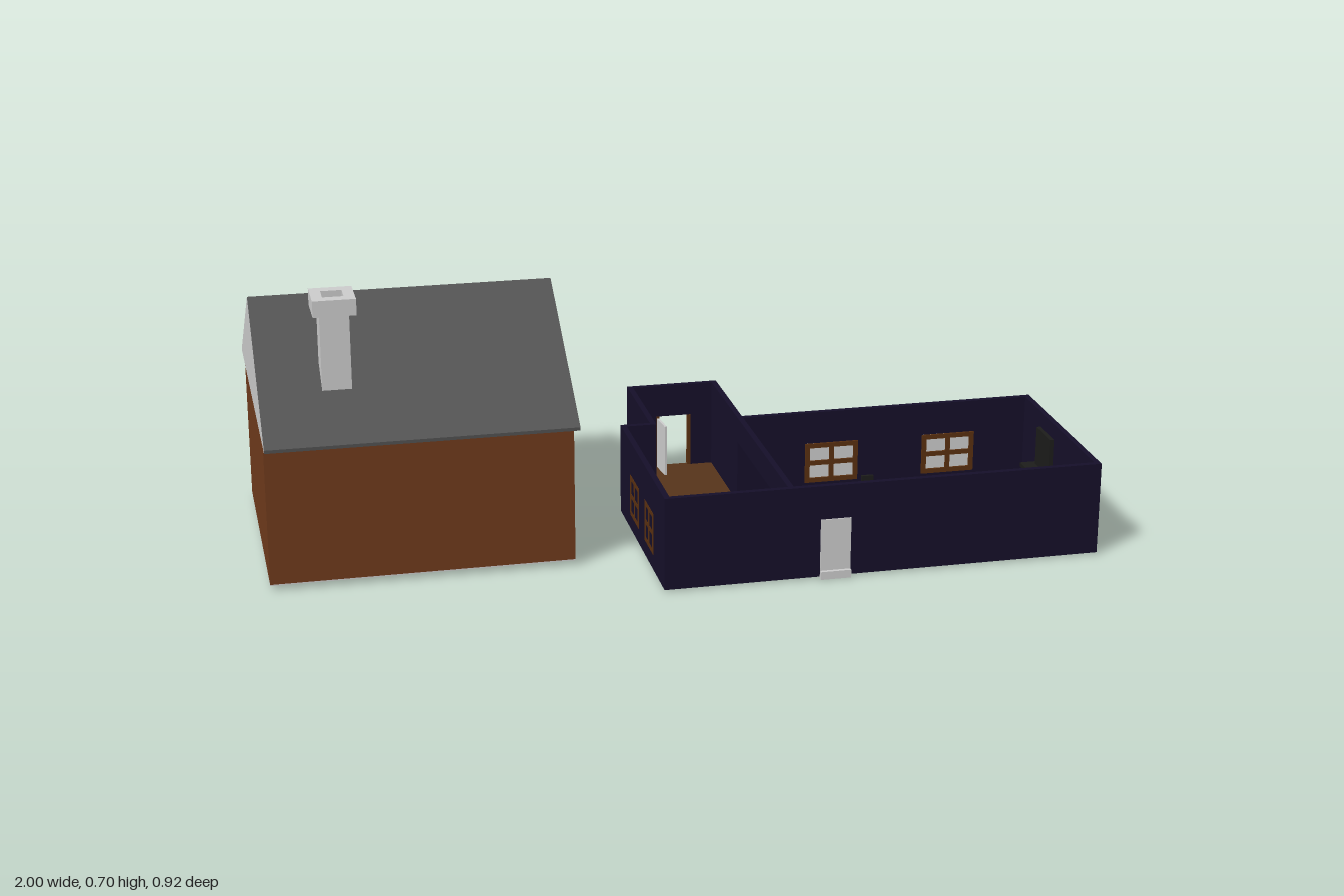
import * as THREE from 'three';

const mats = {};
const mat = (c = 0xcccccc) => (mats[c] ??= new THREE.MeshStandardMaterial({ color: c }));
const BRICK = 0x6e3a1c, ROOF = 0x505050, GLASS = 0x80cfc5, NAVY = 0x150f29,
  WOOD = 0x56341a, DARK = 0x1c1c1a, GREY = 0xcccccc, BROWN = 0x5a3010;

function add(parent, name, geometry, material) {
  const m = new THREE.Mesh(geometry, material);
  m.name = name;
  parent.add(m);
  return m;
}

// box given by its limits on each axis
function box(parent, name, x0, x1, y0, y1, z0, z1, color) {
  const m = add(parent, name, new THREE.BoxGeometry(x1 - x0, y1 - y0, z1 - z0), mat(color));
  m.position.set((x0 + x1) / 2, (y0 + y1) / 2, (z0 + z1) / 2);
  return m;
}

function group(parent, name, x = 0, y = 0, z = 0, ry = 0) {
  const g = new THREE.Group();
  g.name = name;
  g.position.set(x, y, z);
  g.rotation.y = ry;
  parent.add(g);
  return g;
}

// four-pane window facing +z, centred on its origin
function windowUnit(parent, name, x, y, z, ry, w, h, frame, pane, depth) {
  const g = group(parent, name, x, y, z, ry), t = 0.012;
  box(g, 'pane', -w / 2, w / 2, -h / 2, h / 2, -depth * 0.3, depth * 0.3, pane);
  for (const s of [-1, 0, 1]) {
    const cx = s * (w - t) / 2, cy = s * (h - t) / 2;
    box(g, 'upright', cx - t / 2, cx + t / 2, -h / 2, h / 2, -depth / 2, depth / 2, frame);
    box(g, 'rail', -w / 2, w / 2, cy - t / 2, cy + t / 2, -depth / 2, depth / 2, frame);
  }
}

// rectangular tube, open from top to bottom
function hollow(parent, name, w, d, hole, y0, y1, x, z) {
  const rect = (C, a, b) => new C([[-a, -b], [a, -b], [a, b], [-a, b]].map(p => new THREE.Vector2(...p)));
  const s = rect(THREE.Shape, w / 2, d / 2);
  s.holes.push(rect(THREE.Path, hole / 2, hole / 2));
  const geo = new THREE.ExtrudeGeometry(s, { depth: y1 - y0, bevelEnabled: false }).rotateX(-Math.PI / 2);
  add(parent, name, geo, mat()).position.set(x, y0, z);
}

function buildHouse(root) {
  const g = group(root, 'house');
  box(g, 'walls', -0.998, -0.262, 0.019, 0.38, -0.38, 0.24, BRICK);
  box(g, 'foundation', -0.998, -0.262, 0.016, 0.019, -0.38, 0.24);

  // gabled roof: light gable ends, dark slopes
  const s = new THREE.Shape([[-0.315, 0.378], [0.46, 0.378], [0.46, 0.386], [0.07, 0.64], [-0.315, 0.386]]
    .map(p => new THREE.Vector2(...p)));
  const geo = new THREE.ExtrudeGeometry(s, { depth: 0.74, bevelEnabled: false }).rotateY(Math.PI / 2);
  add(g, 'roof', geo, [mat(), mat(ROOF)]).position.x = -1;

  hollow(g, 'chimneyStack', 0.07, 0.073, 0.05, 0.475, 0.66, -0.815, 0.144);
  hollow(g, 'chimneyCap', 0.102, 0.106, 0.05, 0.66, 0.7, -0.815, 0.144);

  windowUnit(g, 'sideWindow', -0.262, 0.241, -0.068, Math.PI / 2, 0.175, 0.15, GREY, GLASS, 0.014);
  for (const x of [-0.84, -0.42])
    windowUnit(g, 'backWindow', x, 0.205, -0.381, Math.PI, 0.145, 0.18, GREY, GLASS, 0.014);

  // back entrance
  const d = group(g, 'backDoor');
  box(d, 'doorPanel', -0.673, -0.587, 0.02, 0.21, -0.388, -0.378);
  for (const x of [-0.685, -0.587]) box(d, 'doorJamb', x, x + 0.012, 0.02, 0.22, -0.394, -0.378);
  box(d, 'doorLintel', -0.685, -0.575, 0.208, 0.22, -0.394, -0.378);
  box(d, 'doorStep', -0.69, -0.57, 0.014, 0.021, -0.404, -0.378);
  const knob = add(d, 'doorKnob', new THREE.SphereGeometry(0.006, 12, 8), mat(DARK));
  knob.position.set(-0.66, 0.112, -0.396);
}

function buildPlan(root) {
  const g = group(root, 'openFloorPlan'), T = 0.014, Y0 = 0.008, Y1 = 0.24;
  const wall = (name, x0, x1, z0, z1, y0 = Y0, y1 = Y1) => box(g, name, x0, x1, y0, y1, z0, z1, NAVY);
  box(g, 'mainFloor', -0.084, 0.999, Y0, 0.014, -0.072, 0.444, WOOD);
  box(g, 'hallFloor', -0.009, 0.229, Y0, 0.014, -0.357, -0.072, WOOD);

  // outer walls
  wall('frontWall', -0.086, 1, 0.445 - T, 0.445);
  wall('rightWall', 1 - T, 1, -0.074, 0.445);
  wall('leftWall', -0.086, -0.086 + T, -0.074, 0.445);
  wall('backWallLiving', 0.23 - T, 1, -0.074, -0.074 + T);
  wall('backWallDining', -0.086, -0.01 + T, -0.074, -0.074 + T);
  wall('hallLeftWall', -0.01, -0.01 + T, -0.36, -0.06);
  wall('hallRightWall', 0.23 - T, 0.23, -0.36, -0.06);
  wall('hallBackWallLeft', -0.01, 0.07, -0.36, -0.36 + T);
  wall('hallBackWallRight', 0.155, 0.23, -0.36, -0.36 + T);
  wall('hallBackLintel', 0.07, 0.155, -0.36, -0.36 + T, 0.155);

  // inner wall with a wide opening
  wall('innerWallFront', 0.216, 0.23, 0.31, 0.44);
  wall('innerWallHeader', 0.216, 0.23, -0.06, 0.31, 0.175);

  // doors
  box(g, 'frontDoor', 0.295, 0.37, Y0, 0.155, 0.428, 0.448);
  box(g, 'frontStep', 0.295, 0.37, 0.004, 0.024, 0.436, 0.457);
  const door = group(g, 'openHallDoor', 0.07, 0, -0.348, 0.1);
  box(door, 'doorPanel', -0.003, 0.003, 0.014, 0.15, 0, 0.07);
  for (const x of [0.066, 0.151]) box(g, 'hallDoorJamb', x, x + 0.008, 0.014, 0.155, -0.361, -0.345, BROWN);

  // windows
  for (const x of [0.465, 0.778])
    windowUnit(g, 'livingWindow', x, 0.103, -0.067, Math.PI, 0.14, 0.106, BROWN, GREY, 0.024);
  for (const z of [0.1, 0.27])
    windowUnit(g, 'diningWindow', -0.078, 0.1, z, Math.PI / 2, 0.1, 0.106, BROWN, GREY, 0.018);
  box(g, 'hallMirror', 0.004, 0.008, 0.045, 0.125, -0.225, -0.175);

  // rugs
  box(g, 'livingRug', 0.405, 0.685, 0.014, 0.017, -0.055, 0.23, NAVY);
  const rug = box(g, 'diningRug', 0.005, 0.205, 0.014, 0.017, 0.06, 0.26, NAVY);
  rug.rotation.y = Math.PI / 4;
}

// table with a top and four legs
function table(parent, name, x0, x1, z0, z1, h, color) {
  const g = group(parent, name), t = 0.005;
  box(g, 'top', x0, x1, h - 0.006, h, z0, z1, color);
  for (const x of [x0, x1 - t]) for (const z of [z0, z1 - t])
    box(g, 'leg', x, x + t, 0.015, h - 0.006, z, z + t, color);
}

// padded seat facing +z with n cushions
function seat(parent, name, n, x, z, ry) {
  const g = group(parent, name, x, 0.017, z, ry), w = n * 0.031, a = w / 2;
  box(g, 'base', -a, a, 0, 0.02, -0.018, 0.018, DARK);
  box(g, 'backrest', -a, a, 0, 0.05, -0.026, -0.018, DARK);
  for (const s of [-1, 1]) box(g, 'arm', s * a - 0.003, s * a + 0.003, 0, 0.032, -0.026, 0.018, DARK);
  for (let i = 0; i < n; i++)
    box(g, 'cushion', -a + i * 0.031 + 0.002, -a + i * 0.031 + 0.029, 0.02, 0.028, -0.016, 0.016);
}

function buildFurniture(root) {
  const g = group(root, 'furniture');
  // dining room
  table(g, 'diningTable', 0.005, 0.15, 0.13, 0.192, 0.06, DARK);
  for (const x of [0.03, 0.078, 0.126]) {
    const plate = add(g, 'plate', new THREE.CylinderGeometry(0.008, 0.008, 0.003, 12), mat(0x8a8468));
    plate.position.set(x, 0.061, 0.161);
  }
  for (const x of [-0.015, 0.17]) {
    box(g, 'chairSeat', x - 0.014, x + 0.014, 0.017, 0.04, 0.147, 0.175, DARK);
    const bx = x < 0 ? x - 0.014 : x + 0.01;
    box(g, 'chairBack', bx, bx + 0.004, 0.04, 0.085, 0.147, 0.175, DARK);
  }
  box(g, 'sideboard', 0.0, 0.15, 0.014, 0.07, 0.393, 0.43, DARK);
  // hall
  table(g, 'hallDesk', 0.006, 0.03, -0.24, -0.155, 0.055, 0x3a1020);
  // living room
  seat(g, 'sofa', 3, 0.467, 0.082, Math.PI / 2);
  seat(g, 'armchairBack', 1, 0.555, -0.01, 0);
  seat(g, 'armchairFront', 1, 0.555, 0.178, Math.PI);
  table(g, 'coffeeTable', 0.635, 0.66, 0.04, 0.125, 0.045, BROWN);
  for (const z of [0.05, 0.15]) box(g, 'fireplacePillar', 0.95, 0.986, 0.014, 0.09, z, z + 0.02, DARK);
  box(g, 'fireplaceBack', 0.975, 0.986, 0.014, 0.2, 0.06, 0.16, DARK);
  box(g, 'fireplaceMantel', 0.94, 0.986, 0.09, 0.1, 0.045, 0.175, DARK);
  box(g, 'fireplaceHearth', 0.93, 0.986, 0.006, 0.018, 0.06, 0.16, DARK);
  // bookcase
  for (const z of [0.225, 0.306]) box(g, 'bookcaseSide', 0.962, 0.986, 0.014, 0.14, z, z + 0.006, BROWN);
  for (let i = 0; i < 4; i++) box(g, 'bookcaseShelf', 0.962, 0.986, 0.016 + i * 0.04, 0.021 + i * 0.04, 0.225, 0.312, BROWN);
  box(g, 'bookcaseBack', 0.982, 0.986, 0.014, 0.14, 0.225, 0.312, BROWN);
}

export function createModel() {
  const root = new THREE.Group();
  root.name = 'houseAndFloorPlan';
  buildHouse(root);
  buildPlan(root);
  buildFurniture(root);
  return root;
}
